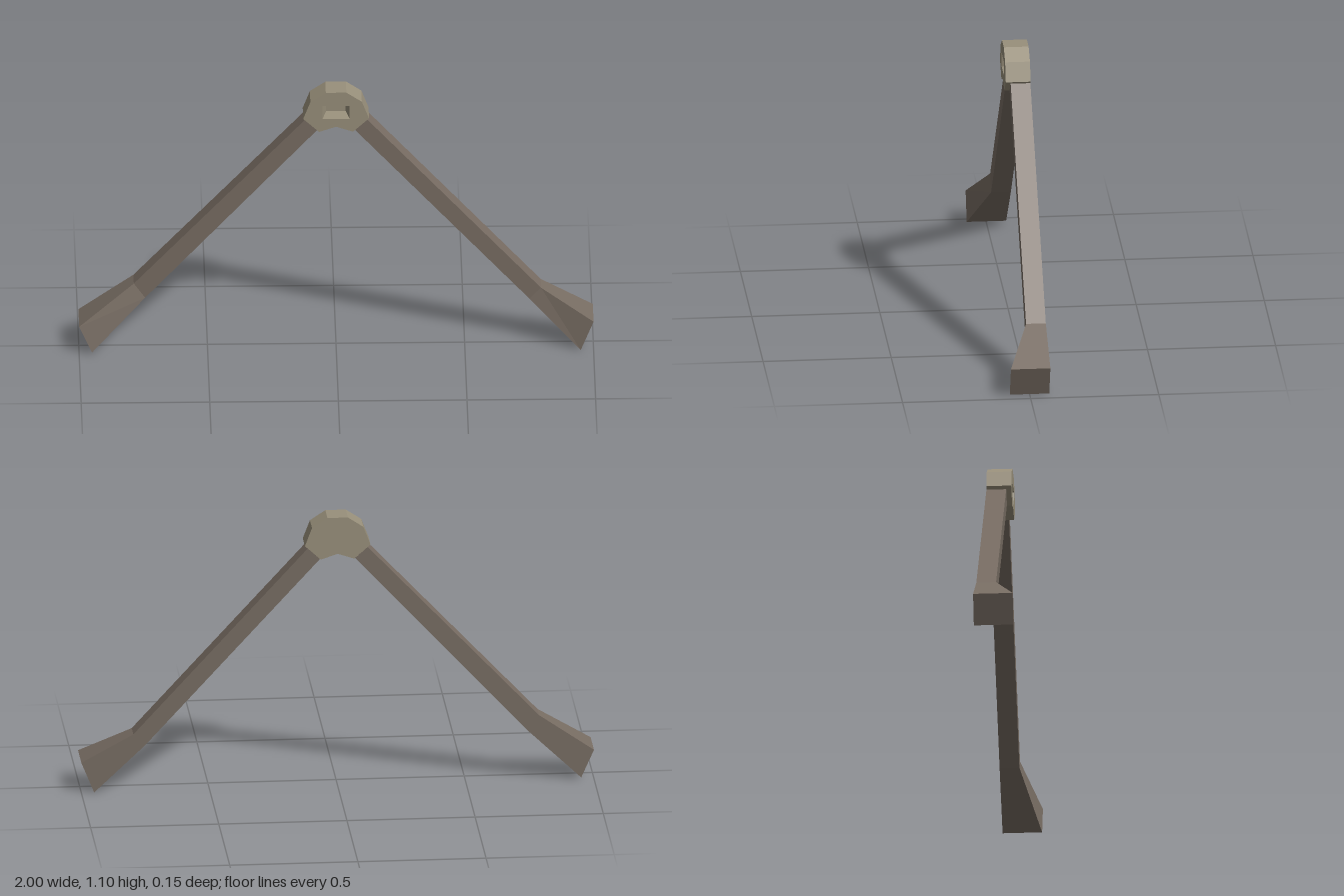
import * as THREE from 'three';

const BACK = -0.077;

// Skin a list of equal-length corner loops (each counter-clockwise seen from its travel direction's end).
function loft(loops, capped = true) {
  const pos = [];
  const tri = (a, b, c) => pos.push(...a, ...b, ...c);
  const n = loops[0].length;
  for (let i = 0; i + 1 < loops.length; i++) {
    for (let j = 0; j < n; j++) {
      const k = (j + 1) % n;
      const [a, b, c, d] = [loops[i][j], loops[i][k], loops[i + 1][k], loops[i + 1][j]];
      tri(a, b, c);
      tri(a, c, d);
    }
  }
  if (capped) {
    const first = loops[0], last = loops[loops.length - 1];
    for (let j = 1; j + 1 < n; j++) {
      tri(first[0], first[j + 1], first[j]);
      tri(last[0], last[j], last[j + 1]);
    }
  }
  const g = new THREE.BufferGeometry();
  g.setAttribute('position', new THREE.Float32BufferAttribute(pos, 3));
  g.computeVertexNormals();
  return g;
}

// Rectangular loop through an upper and a lower point, from the back plane to a front depth.
function section([tx, ty], [bx, by], front, flip) {
  const loop = [[tx, ty, BACK], [tx, ty, front], [bx, by, front], [bx, by, BACK]];
  return flip ? loop.reverse() : loop;
}

function rectLoop(hw, y0, y1, z) {
  return [[-hw, y0, z], [-hw, y1, z], [hw, y1, z], [hw, y0, z]];
}

export function createModel() {
  const group = new THREE.Group();
  const legMat = new THREE.MeshStandardMaterial({ color: 0x786d63, flatShading: true });
  legMat.name = 'legBrown';
  const hubMat = new THREE.MeshStandardMaterial({ color: 0x99907b, flatShading: true });
  hubMat.name = 'hubTan';

  const add = (name, geometry, material) => {
    const mesh = new THREE.Mesh(geometry, material);
    mesh.name = name;
    group.add(mesh);
    return mesh;
  };

  // Legs: straight bar from the hub to the knee, then a flared foot
  const legs = [
    { name: 'leftLeg', top: [[0.117, 0.98], [0.068, 0.937]], knee: [[0.797, 0.237], [0.752, 0.19]], end: [[1, 0.126], [0.95, 0.003]] },
    { name: 'rightLeg', top: [[-0.117, 0.98], [-0.068, 0.937]], knee: [[-0.786, 0.27], [-0.742, 0.208]], end: [[-1, 0.122], [-0.95, 0.01]] },
  ];
  for (const { name, top, knee, end } of legs) {
    const flip = name === 'rightLeg';
    add(name, loft([
      section(...top, 0, flip),
      section(...knee, 0, flip),
      section(...end, 0.077, flip),
    ]), legMat);
  }

  // Hub: nine-sided block with a notch below, solid at the back and open at the front
  const half = [[0.04, 1.103], [0.1, 1.063], [0.128, 0.99], [0.066, 0.933]];
  const outline = [
    ...half, [0, 0.955],
    ...half.slice().reverse().map(([x, y]) => [-x, y]),
  ].map(([x, y]) => new THREE.Vector2(x, y));
  const floorZ = -0.03, frontZ = 0.02;

  const slab = new THREE.ExtrudeGeometry(new THREE.Shape(outline), { depth: floorZ - BACK, bevelEnabled: false });
  add('hubBack', slab.translate(0, 0, BACK), hubMat);

  const ring = new THREE.Shape(outline);
  ring.holes.push(new THREE.Path(rectLoop(0.054, 0.988, 1.045, 0).map(([x, y]) => new THREE.Vector2(x, y))));
  const front = new THREE.ExtrudeGeometry(ring, { depth: frontZ - floorZ, bevelEnabled: false });
  add('hubFront', front.translate(0, 0, floorZ), hubMat);

  // Tapered walls of the socket
  add('socketWalls', loft([
    rectLoop(0.038, 0.998, 1.033, floorZ),
    rectLoop(0.053, 0.989, 1.044, frontZ),
  ].map((l) => l.reverse()).reverse(), false), hubMat);

  return group;
}
